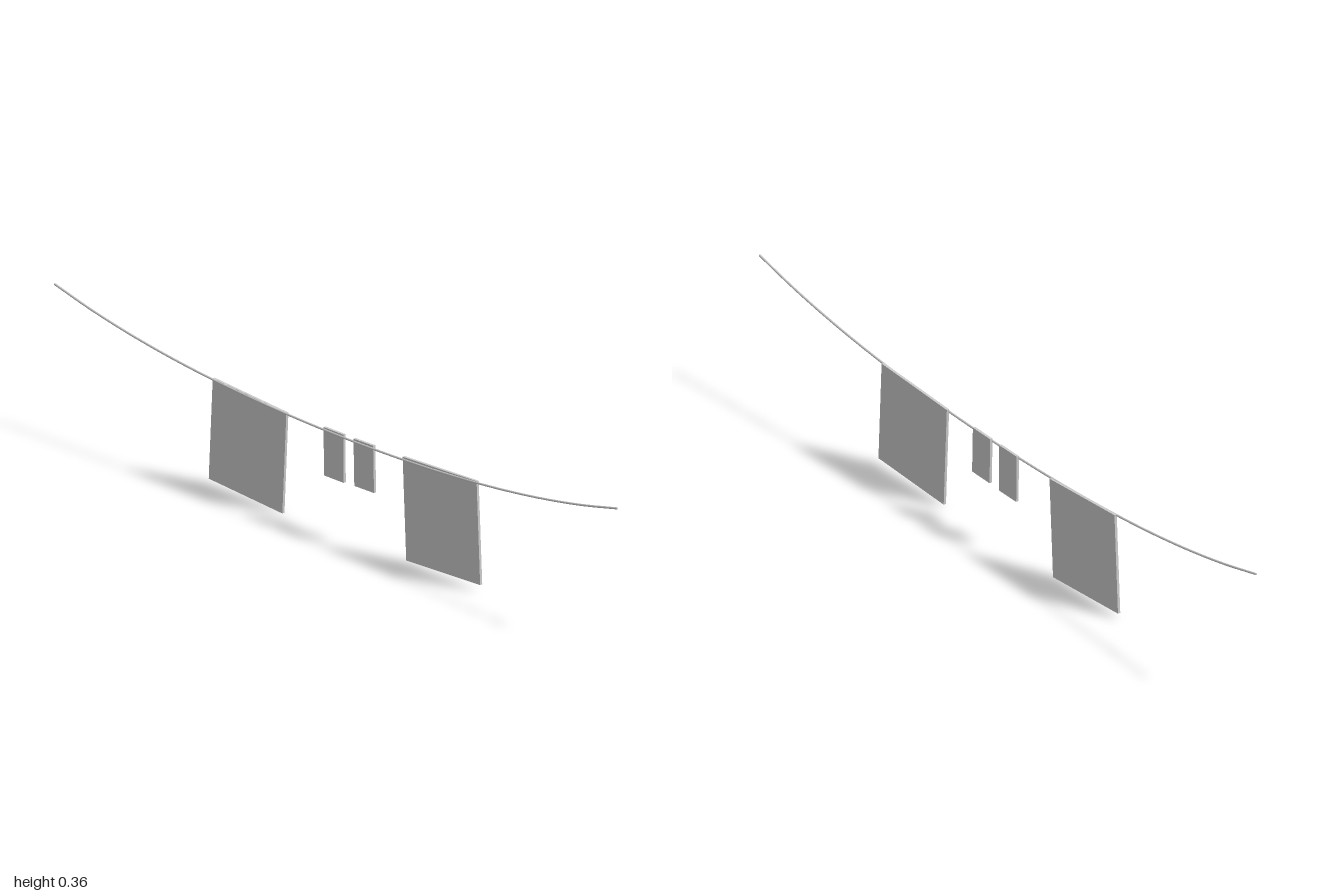
import * as THREE from 'three';

const material = new THREE.MeshStandardMaterial({ color: 0xcccccc, side: THREE.DoubleSide });
const ropeRadius = 0.0028;

// Sagging line strung along z
function createLine() {
  const points = [];
  for (let i = 0; i <= 16; i++) {
    const z = 1 - i / 8;
    points.push(new THREE.Vector3(-0.0025, 0.2585 + 0.0755 * z ** 2 + 0.0235 * z ** 4, z));
  }
  const path = new THREE.CatmullRomCurve3(points);
  const rope = new THREE.Mesh(new THREE.TubeGeometry(path, 48, ropeRadius, 8), material);
  rope.name = 'rope';

  // Close both ends of the line
  const line = new THREE.Group();
  line.name = 'line';
  line.add(rope);
  for (const t of [0, 1]) {
    const cap = new THREE.Mesh(new THREE.CircleGeometry(ropeRadius, 8), material);
    cap.name = 'ropeEnd';
    cap.position.copy(path.getPoint(t));
    cap.lookAt(cap.position.clone().addScaledVector(path.getTangent(t), t ? 1 : -1));
    line.add(cap);
  }
  return line;
}

// Thin cloth hung from the line, tilted to follow its slope
function createCloth(name, z, y, width, height, slope) {
  const cloth = new THREE.Mesh(new THREE.BoxGeometry(0.007, height, width), material);
  cloth.name = name;
  cloth.position.set(0.0015, y, z);
  cloth.rotation.x = -Math.atan(slope);
  return cloth;
}

export function createModel() {
  const model = new THREE.Group();
  model.name = 'clothesline';
  model.add(
    createLine(),
    createCloth('frontTowel', 0.374, 0.144, 0.263, 0.264, 0.048),
    createCloth('frontSock', 0.098, 0.206, 0.07, 0.121, 0.025),
    createCloth('backSock', -0.009, 0.203, 0.07, 0.124, 0.012),
    createCloth('backTowel', -0.315, 0.138, 0.262, 0.263, -0.054),
  );
  return model;
}
